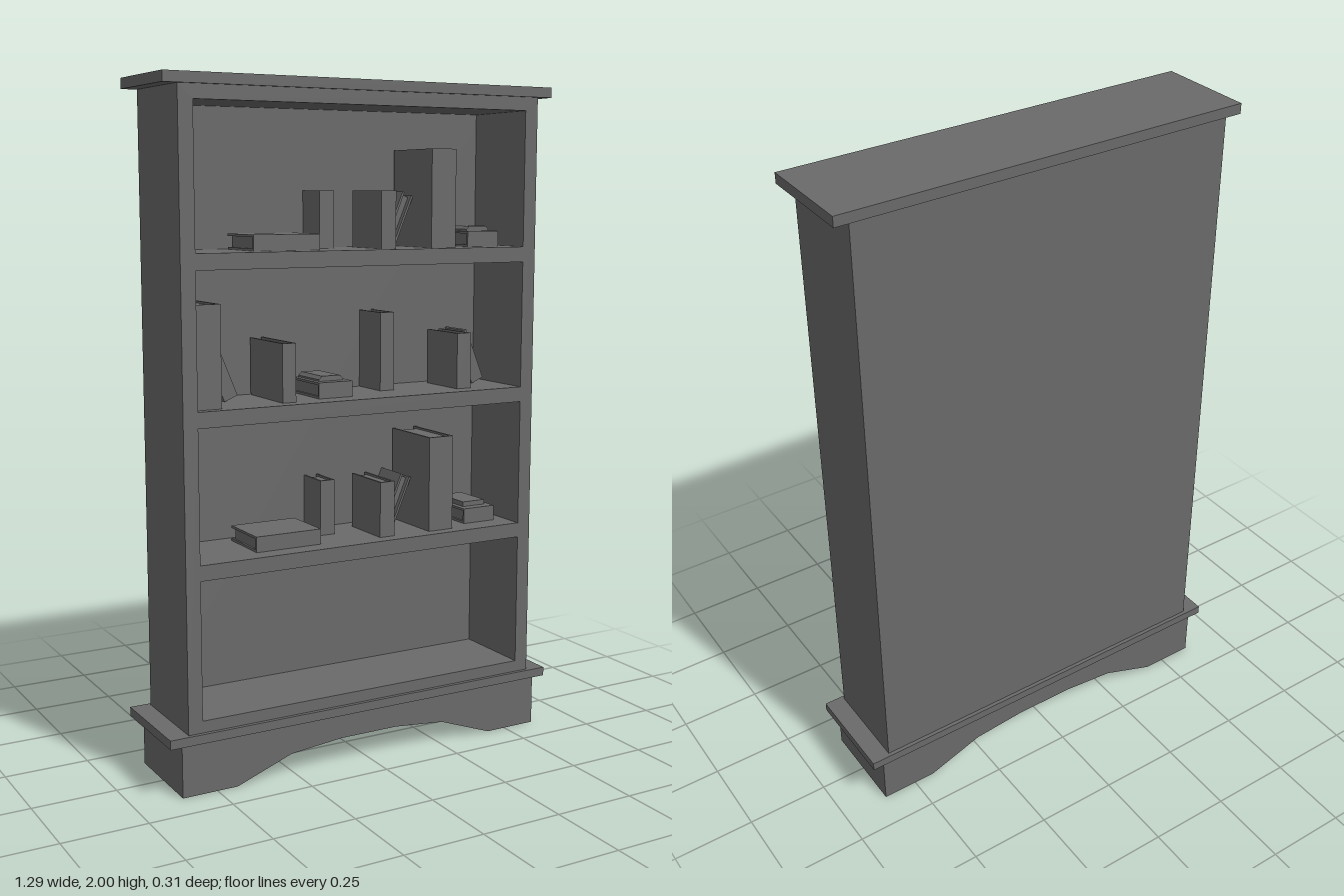
import * as THREE from 'three';

const material = new THREE.MeshStandardMaterial({ color: 0x6a6a6a, flatShading: true });

function addMesh(parent, name, geometry) {
  const mesh = new THREE.Mesh(geometry, material);
  mesh.name = name;
  parent.add(mesh);
  return mesh;
}

// Box given by its extents on each axis
function box(parent, name, x0, x1, y0, y1, z0, z1) {
  const mesh = addMesh(parent, name, new THREE.BoxGeometry(x1 - x0, y1 - y0, z1 - z0));
  mesh.position.set((x0 + x1) / 2, (y0 + y1) / 2, (z0 + z1) / 2);
}

function extrude(parent, name, shape, z0, z1) {
  const geometry = new THREE.ExtrudeGeometry(shape, { depth: z1 - z0, bevelEnabled: false });
  geometry.translate(0, 0, z0);
  addMesh(parent, name, geometry);
}

const outline = (points) => new THREE.Shape(points.map(([x, y]) => new THREE.Vector2(x, y)));
const rectangle = (x0, x1, y0, y1) => [[x0, y0], [x1, y0], [x1, y1], [x0, y1]];

// Hard-cover book: spine at the front (or back), two covers, recessed pages.
// Its origin is the lower left front corner.
function book(parent, x, y, z, thick, high, deep, { angle = 0, spineBack = false } = {}) {
  const group = new THREE.Group();
  group.name = 'book';
  const c = Math.min(0.007, thick * 0.2);
  const inset = 0.006;
  const foreInset = 0.015;
  const spineZ = spineBack ? -deep : -c;
  box(group, 'spine', 0, thick, 0, high, spineZ, spineZ + c);
  const z0 = spineBack ? -deep + c : -deep;
  const z1 = spineBack ? 0 : -c;
  box(group, 'leftCover', 0, c, 0, high, z0, z1);
  box(group, 'rightCover', thick - c, thick, 0, high, z0, z1);
  box(group, 'pages', c, thick - c, inset, high - inset,
    z0 + (spineBack ? 0 : foreInset), z1 - (spineBack ? foreInset : 0));
  group.rotation.z = angle;
  group.position.set(x, y, z);
  parent.add(group);
}

// Book lying flat with its cover upward
function flatBook(parent, x, y, z, wide, thick, deep) {
  book(parent, x, y + thick, z, thick, wide, deep, { angle: -Math.PI / 2 });
}

// Two flat books, the smaller on top with its upper edges cut by the bevel
function stack(parent, x, y, z, bevel) {
  const group = new THREE.Group();
  group.name = 'bookStack';
  flatBook(group, x, y, z, 0.112, 0.047, 0.18);
  const [x0, x1, y0, y1] = [x + 0.016, x + 0.096, y + 0.047, y + 0.062];
  extrude(group, 'upperBook', outline([
    [x0, y0], [x1, y0], [x1, y1 - bevel], [x1 - bevel, y1], [x0 + bevel, y1], [x0, y1 - bevel],
  ]), z - 0.16, z - 0.03);
  parent.add(group);
}

// Contents of the first and third shelves
function mixedShelf(parent, y, bevel) {
  const row = new THREE.Group();
  row.name = 'shelfBooks';
  book(row, -0.541, y, 0.01, 0.046, 0.237, 0.127);
  flatBook(row, -0.34, y, 0.085, 0.21, 0.046, 0.17);
  book(row, -0.08, y, -0.01, 0.048, 0.168, 0.105);
  box(row, 'booklet', -0.02, -0.008, y, y + 0.06, -0.117, -0.06);
  book(row, 0.064, y, 0.1, 0.05, 0.168, 0.17);
  book(row, 0.134, y + 0.015, 0, 0.039, 0.164, 0.117, { angle: -0.4, spineBack: true });
  book(row, 0.234, y, 0.105, 0.085, 0.29, 0.215);
  stack(row, 0.387, y, 0.07, bevel);
  parent.add(row);
}

// Contents of the second shelf
function middleShelf(parent, y) {
  const row = new THREE.Group();
  row.name = 'shelfBooks';
  book(row, -0.541, y, 0.116, 0.084, 0.29, 0.22);
  book(row, -0.26, y, 0.1, 0.043, 0.17, 0.21);
  book(row, 0.116, y, 0.01, 0.048, 0.237, 0.127);
  book(row, 0.344, y, 0.085, 0.05, 0.17, 0.17);
  for (const x of [-0.393, 0.461]) book(row, x, y, -0.005, 0.044, 0.167, 0.112, { angle: 0.393 });
  stack(row, -0.129, y, 0.075, 0.01);
  parent.add(row);
}

export function createModel() {
  const model = new THREE.Group();
  model.name = 'bookcase';

  // Plinth with a faceted arch running through it
  extrude(model, 'archedBase', outline([
    [-0.607, 0], [-0.437, 0], [-0.262, 0.064], [-0.095, 0.08], [0.095, 0.08],
    [0.262, 0.064], [0.437, 0], [0.607, 0], [0.607, 0.153], [-0.607, 0.153],
  ]), -0.146, 0.146);
  box(model, 'baseTrim', -0.645, 0.645, 0.153, 0.18, -0.155, 0.155);

  // Case with four openings, closed by the back panel
  const openings = [[0.215, 0.62], [0.665, 1.049], [1.095, 1.479], [1.525, 1.93]];
  const frame = outline(rectangle(-0.585, 0.585, 0.18, 1.97));
  for (const [y0, y1] of openings) frame.holes.push(outline(rectangle(-0.541, 0.541, y0, y1)));
  extrude(model, 'caseAndShelves', frame, -0.117, 0.143);
  box(model, 'backPanel', -0.585, 0.585, 0.18, 1.97, -0.143, -0.117);
  box(model, 'topSlab', -0.63, 0.63, 1.97, 2, -0.151, 0.151);

  // Books
  mixedShelf(model, 0.665, 0);
  middleShelf(model, 1.095);
  mixedShelf(model, 1.525, 0.01);
  return model;
}
